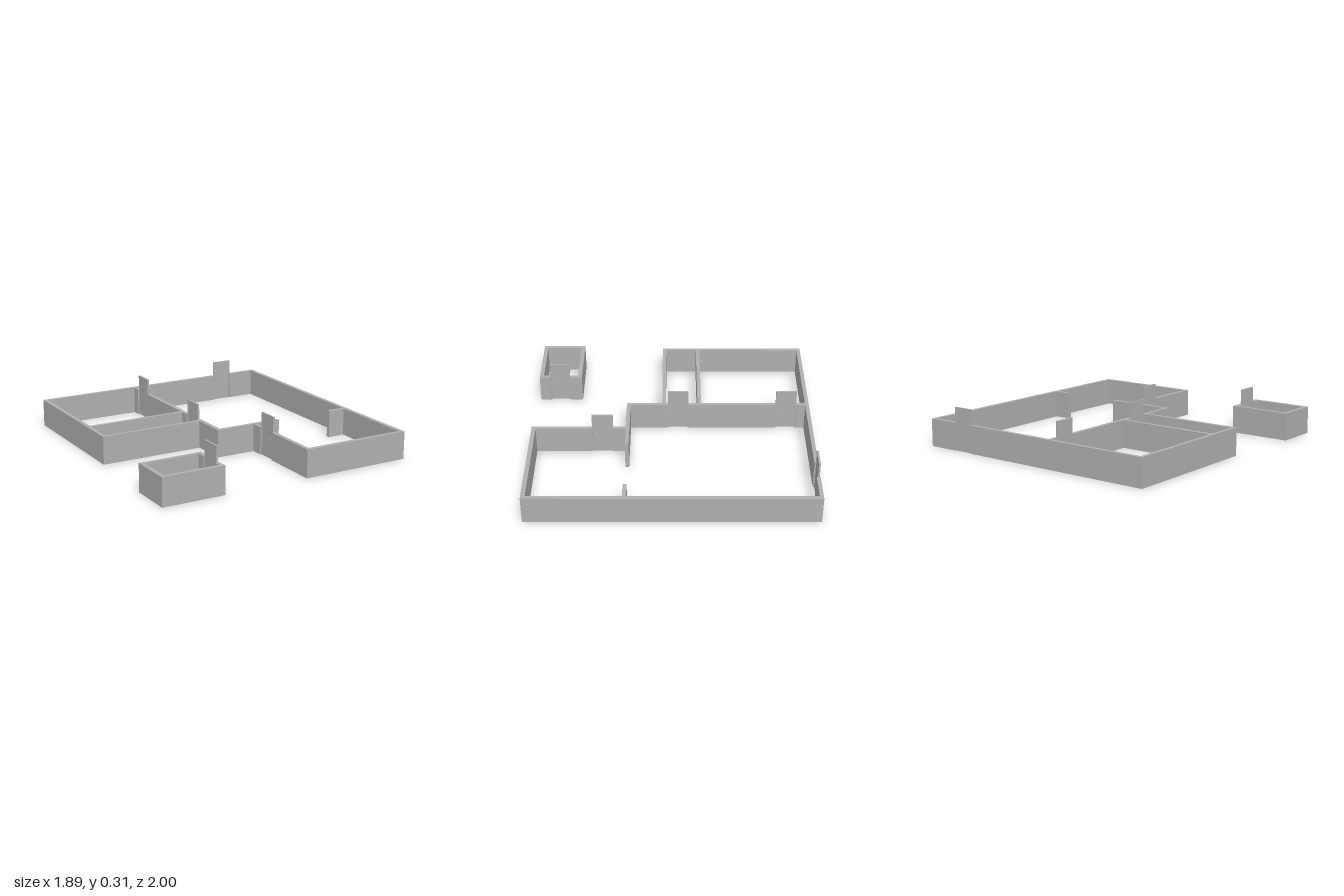
import * as THREE from 'three';

const WALL_H = 0.2;
const DOOR_W = 0.15;
const DOOR_H = 0.31;

export function createModel() {
  const model = new THREE.Group();
  model.name = 'floorPlan';
  const grey = new THREE.MeshStandardMaterial({ color: 0xb0b0b0 });
  grey.name = 'plainGrey';

  const box = (parent, name, w, h, d, x, y, z) => {
    const mesh = new THREE.Mesh(new THREE.BoxGeometry(w, h, d), grey);
    mesh.name = name;
    mesh.position.set(x, y, z);
    parent.add(mesh);
    return mesh;
  };

  // Wall standing on the ground between two plan corners
  const wall = (parent, name, x0, x1, z0, z1) =>
    box(parent, name, x1 - x0, WALL_H, z1 - z0, (x0 + x1) / 2, WALL_H / 2, (z0 + z1) / 2);

  // House walls, with gaps left for the doors
  const house = new THREE.Group();
  house.name = 'houseWalls';
  model.add(house);
  [
    ['backWallRight', -0.915, 0.563, -1, -0.973],
    ['backWallLeft', 0.712, 0.942, -1, -0.973],
    ['outerLeftWall', 0.913, 0.942, -0.973, 1],
    ['outerRightWall', -0.915, -0.887, -0.973, 0.072],
    ['roomDivider', -0.887, -0.162, -0.213, -0.186],
    ['roomFrontWall', -0.887, -0.162, 0.045, 0.072],
    ['innerWallBack', -0.162, -0.133, -0.973, -0.908],
    ['innerWallMiddle', -0.162, -0.133, -0.758, -0.12],
    ['innerWallFront', -0.162, -0.133, 0.03, 0.33],
    ['hallWall', -0.133, 0.343, 0.303, 0.33],
    ['hallStub', 0.785, 0.913, 0.303, 0.33],
    ['porchSideBack', 0.131, 0.16, 0.33, 0.419],
    ['porchSideFront', 0.131, 0.16, 0.569, 1],
    ['frontWall', 0.16, 0.913, 0.97, 1],
  ].forEach((w) => wall(house, ...w));

  // Detached shed
  const shed = new THREE.Group();
  shed.name = 'shedWalls';
  model.add(shed);
  [
    ['shedBackWall', -0.95, -0.497, 0.682, 0.711],
    ['shedFrontWall', -0.95, -0.497, 0.971, 1],
    ['shedRightWall', -0.95, -0.921, 0.711, 0.971],
    ['shedLeftWallBack', -0.528, -0.497, 0.711, 0.772],
    ['shedLeftWallFront', -0.528, -0.497, 0.922, 0.971],
  ].forEach((w) => wall(shed, ...w));

  // Door: frame, thinner leaf and a lever handle on each face
  const door = (name, x, z, turn) => {
    const g = new THREE.Group();
    g.name = name;
    const bar = 0.009, depth = 0.013;
    for (const s of [-1, 1]) {
      box(g, 'doorPost', bar, DOOR_H, depth, s * (DOOR_W - bar) / 2, DOOR_H / 2, 0);
      box(g, 'handleStem', 0.004, 0.004, 0.01, -0.052, 0.145, s * 0.008);
      box(g, 'handleLever', 0.02, 0.004, 0.003, -0.044, 0.145, s * 0.0125);
    }
    box(g, 'doorHead', DOOR_W - 2 * bar, bar, depth, 0, DOOR_H - bar / 2, 0);
    box(g, 'doorLeaf', DOOR_W - 2 * bar, DOOR_H - bar, 0.007, 0, (DOOR_H - bar) / 2, 0);
    g.position.set(x, 0, z);
    g.rotation.y = turn;
    model.add(g);
  };

  const side = Math.PI / 2;
  door('backDoor', 0.637, -0.987, 0);
  door('bedroomDoor', -0.147, -0.833, side);
  door('smallRoomDoor', -0.147, -0.045, side);
  door('porchDoor', 0.146, 0.494, side);
  door('shedDoor', -0.512, 0.847, side);

  return model;
}
